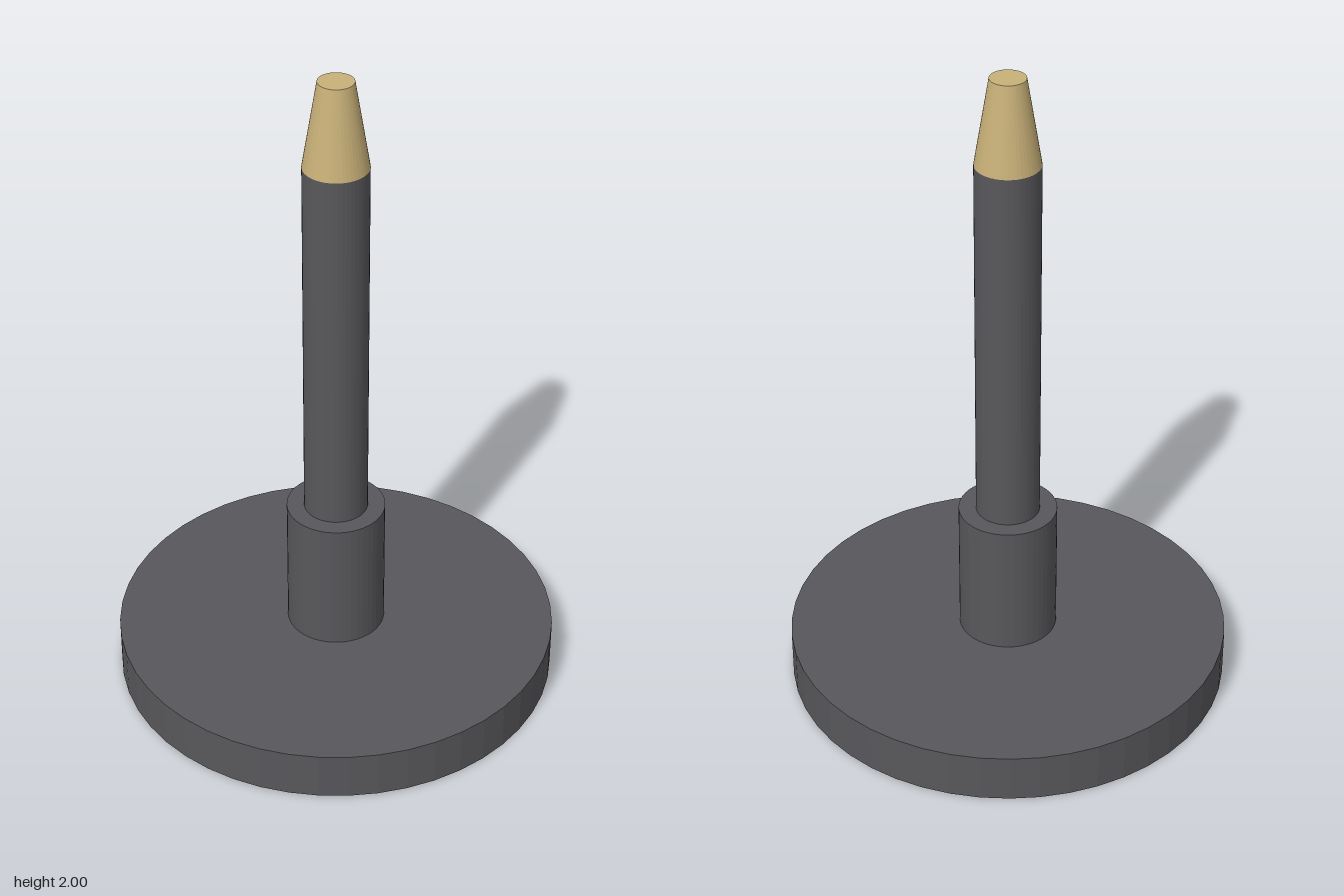
import * as THREE from 'three';

const SIDES = 48;

export function createModel() {
  const group = new THREE.Group();
  const dark = new THREE.MeshStandardMaterial({ color: 0x58585c, flatShading: true });
  const brass = new THREE.MeshStandardMaterial({ color: 0xc8b078, flatShading: true });

  // Upright round part spanning y0..y1
  const addRound = (name, bottomRadius, topRadius, y0, y1, material) => {
    const geometry = new THREE.CylinderGeometry(topRadius, bottomRadius, y1 - y0, SIDES);
    const mesh = new THREE.Mesh(geometry, material);
    mesh.name = name;
    mesh.position.y = (y0 + y1) / 2;
    group.add(mesh);
  };

  addRound('baseDisc', 0.675, 0.675, 0, 0.15, dark);
  addRound('collar', 0.15, 0.15, 0.15, 0.572, dark);
  addRound('shaft', 0.097, 0.097, 0.572, 1.735, dark);
  addRound('taperedTip', 0.097, 0.053, 1.735, 2, brass);

  return group;
}
